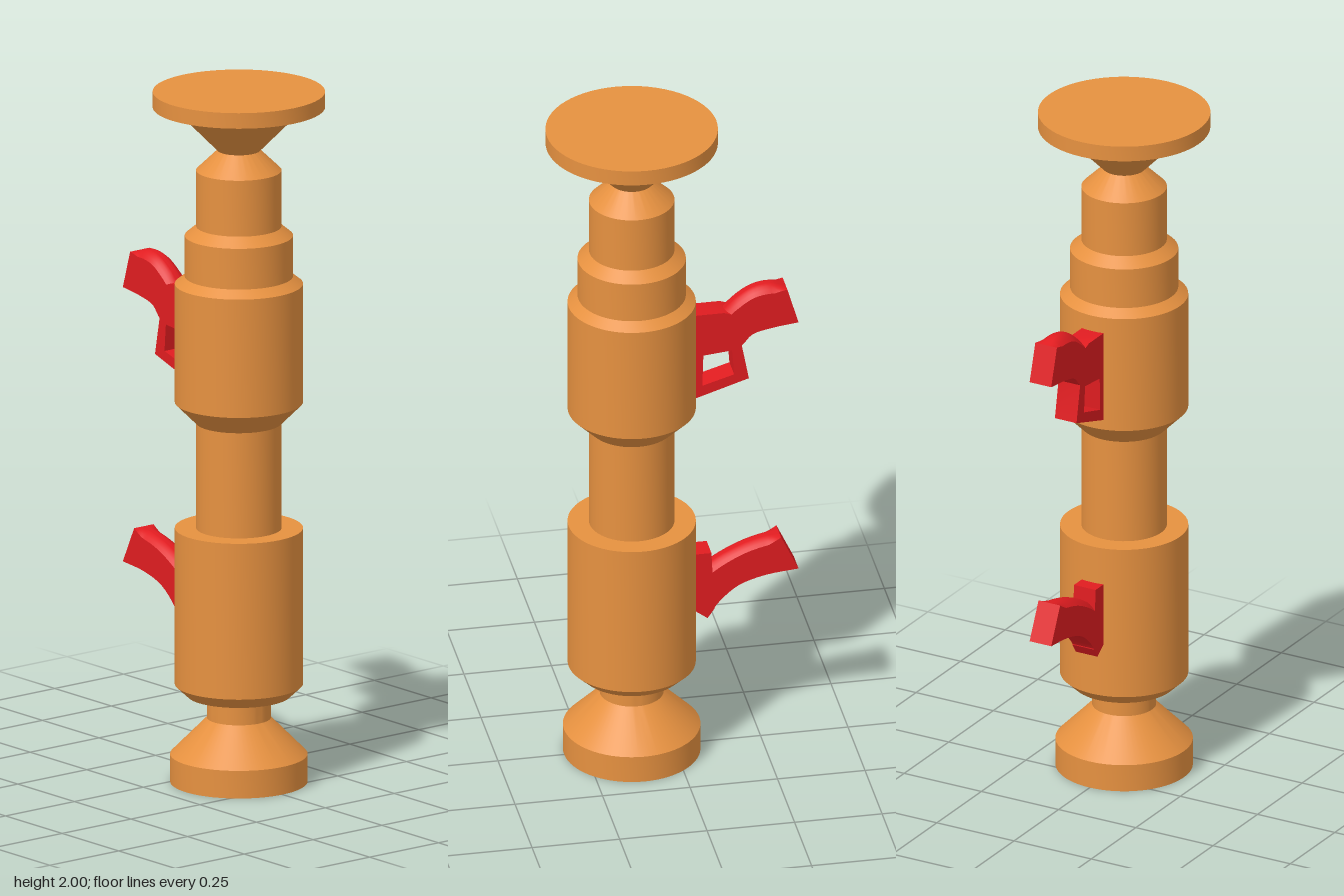
import * as THREE from 'three';
import { toCreasedNormals } from 'three/addons/utils/BufferGeometryUtils.js';

const AXIS_Z = 0.118;   // centre of the column
const HALF = 0.035;     // half the width of the handles
const orange = new THREE.MeshStandardMaterial({ color: 0xe69140 });
const red = new THREE.MeshStandardMaterial({ color: 0xe01c20 });

function addMesh(parent, name, geometry, material) {
  const mesh = new THREE.Mesh(toCreasedNormals(geometry, 0.45), material);
  mesh.name = name;
  parent.add(mesh);
  return mesh;
}

function lathe(points) {
  return new THREE.LatheGeometry(points.map(([r, y]) => new THREE.Vector2(r, y)), 64);
}

// Side outline in (distance backward, height), extruded across x
function sidePlate(outline, hole) {
  const toPoints = (list) => list.map(([u, y]) => new THREE.Vector2(u, y));
  const shape = new THREE.Shape(toPoints(outline));
  if (hole) shape.holes.push(new THREE.Path(toPoints(hole)));
  return new THREE.ExtrudeGeometry(shape, { depth: 2 * HALF, bevelEnabled: false })
    .translate(0, 0, -HALF)
    .rotateY(Math.PI / 2);
}

// Curved grip: crowned sections between an upper and a lower side curve
function grip(top, bottom) {
  const curve = (list) => new THREE.CatmullRomCurve3(list.map(([u, y]) => new THREE.Vector3(0, y, -u)));
  const upper = curve(top), lower = curve(bottom);
  const steps = 16, across = 8, ring = across + 3;
  const positions = [], index = [];
  for (let i = 0; i <= steps; i++) {
    const t = i / steps;
    const a = upper.getPoint(t), b = lower.getPoint(t);
    const crown = 0.16 * Math.min(1, (1 - t) * 5);
    const put = (s, f) => {
      const p = b.clone().lerp(a, f);
      positions.push(s * HALF, p.y, p.z);
    };
    put(1, 0);
    put(-1, 0);
    for (let k = 0; k <= across; k++) {
      const s = -1 + (2 * k) / across;
      put(s, 1 - crown * s * s);
    }
  }
  for (let i = 0; i < steps; i++) {
    for (let j = 0; j < ring; j++) {
      const k = (j + 1) % ring;
      const a = i * ring + j, b = i * ring + k;
      index.push(a, b, b + ring, a, b + ring, a + ring);
    }
  }
  // Close both ends
  const last = steps * ring;
  for (let j = 1; j < ring - 1; j++) {
    index.push(last, last + j, last + j + 1, 0, j + 1, j);
  }
  const geometry = new THREE.BufferGeometry();
  geometry.setAttribute('position', new THREE.Float32BufferAttribute(positions, 3));
  geometry.setIndex(index);
  return geometry;
}

export function createModel() {
  const model = new THREE.Group();
  model.name = 'handledColumn';

  const column = new THREE.Group();
  column.name = 'column';
  column.position.z = AXIS_Z;
  model.add(column);

  // Foot with a blind hole underneath, and its neck
  addMesh(column, 'foot', lathe([
    [0, 0.18], [0.058, 0.18], [0.058, 0], [0.193, 0], [0.193, 0.08], [0.09, 0.185], [0.09, 0.25],
  ]), orange);

  // Lower sleeve, chamfered at the bottom
  addMesh(column, 'lowerSleeve', lathe([
    [0.09, 0.25], [0.145, 0.25], [0.18, 0.283], [0.18, 0.735], [0.12, 0.735],
  ]), orange);

  addMesh(column, 'middleTube', lathe([[0.12, 0.735], [0.12, 1.04]]), orange);

  // Upper sleeve with stepped shoulders
  addMesh(column, 'upperSleeve', lathe([
    [0.12, 1.04], [0.18, 1.1], [0.18, 1.443], [0.152, 1.465],
    [0.152, 1.583], [0.12, 1.61], [0.12, 1.772], [0.06, 1.83],
  ]), orange);

  // Flared cap with a flat disc
  addMesh(column, 'topCap', lathe([
    [0.06, 1.83], [0.182, 1.955], [0.242, 1.955], [0.242, 2], [0, 2],
  ]), orange);

  // Upper handle: framed bracket and curved grip
  const upperHandle = new THREE.Group();
  upperHandle.name = 'upperHandle';
  addMesh(upperHandle, 'upperBracket', sidePlate(
    [[0.04, 1.125], [0.06, 1.13], [0.21, 1.178], [0.19, 1.285], [0.185, 1.38], [0.14, 1.396], [0.04, 1.396]],
    [[0.08, 1.265], [0.162, 1.273], [0.168, 1.195], [0.077, 1.168]],
  ), red);
  addMesh(upperHandle, 'upperGrip', grip(
    [[0.14, 1.392], [0.18, 1.43], [0.225, 1.457], [0.275, 1.465], [0.32, 1.452]],
    [[0.165, 1.28], [0.188, 1.285], [0.22, 1.318], [0.275, 1.333], [0.352, 1.343]],
  ), red);
  model.add(upperHandle);

  // Lower handle: flat mounting plate and curved grip
  const lowerHandle = new THREE.Group();
  lowerHandle.name = 'lowerHandle';
  addMesh(lowerHandle, 'lowerBracket', sidePlate(
    [[0.04, 0.45], [0.06, 0.44], [0.092, 0.416], [0.112, 0.445], [0.103, 0.625], [0.04, 0.625]],
  ), red);
  addMesh(lowerHandle, 'lowerGrip', grip(
    [[0.095, 0.578], [0.14, 0.605], [0.2, 0.632], [0.255, 0.648], [0.302, 0.654]],
    [[0.095, 0.422], [0.125, 0.465], [0.18, 0.512], [0.255, 0.537], [0.352, 0.548]],
  ), red);
  model.add(lowerHandle);

  return model;
}
